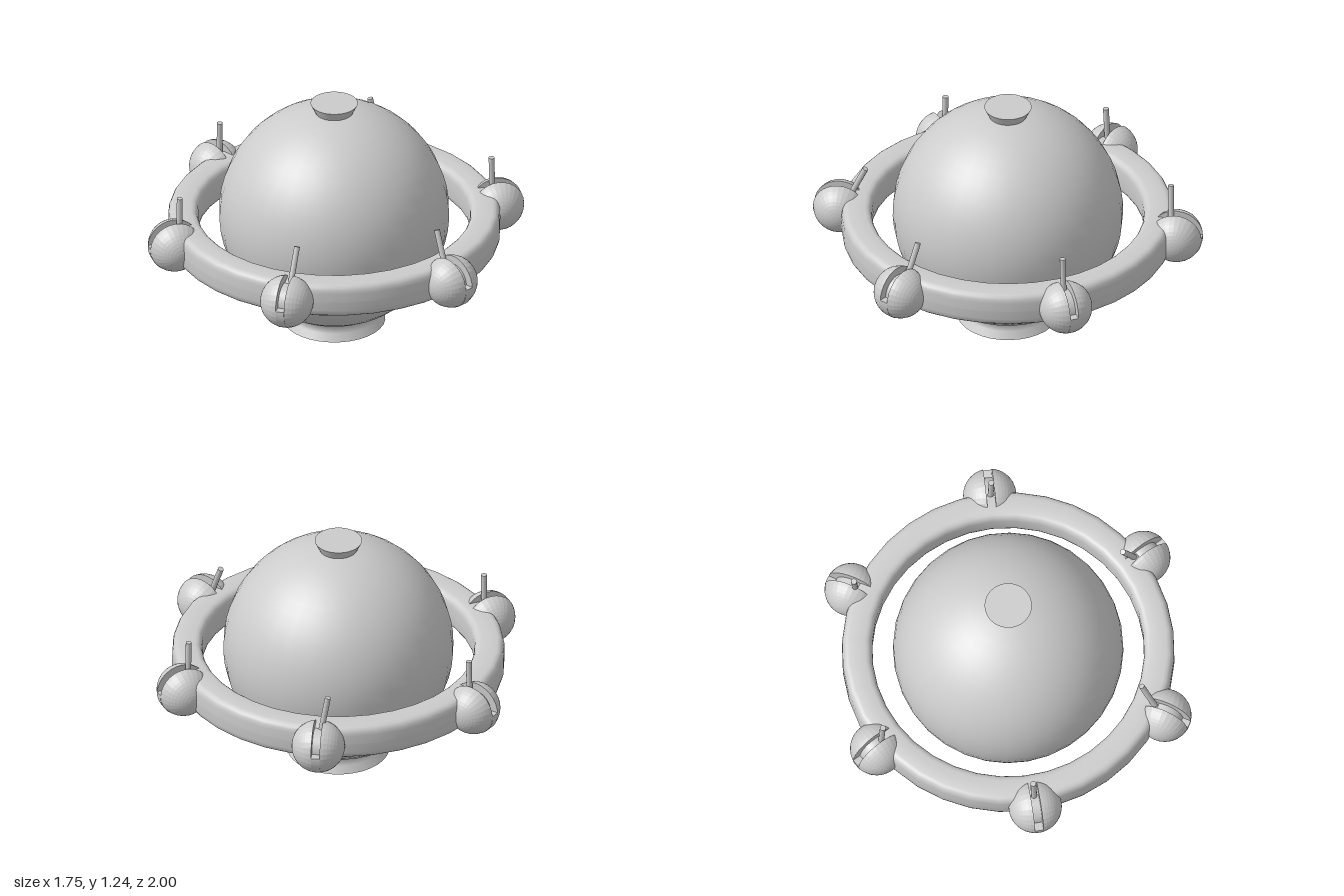
import * as THREE from 'three';

const smooth = new THREE.MeshStandardMaterial({ color: 0xcccccc });
const faceted = new THREE.MeshStandardMaterial({ color: 0xcccccc, flatShading: true });
const open = new THREE.MeshStandardMaterial({ color: 0xcccccc, side: THREE.DoubleSide });

function add(parent, name, geometry, material) {
  const mesh = new THREE.Mesh(geometry, material);
  mesh.name = name;
  parent.add(mesh);
  return mesh;
}

const v2 = (x, y) => new THREE.Vector2(x, y);

// Round body flowing into a flared, open foot
function addBody(model) {
  const R = 0.585, cy = 0.615, neck = Math.asin(0.22 / R);
  const profile = [v2(0.26, 0), v2(0.238, 0.038)];
  for (let i = 0; i <= 24; i++) {
    const a = neck + (Math.PI - neck) * i / 24;
    profile.push(v2(Math.max(0, R * Math.sin(a)), cy - R * Math.cos(a)));
  }
  add(model, 'body', new THREE.LatheGeometry(profile, 32), open);
  // Underside of the body, seen through the foot
  const floor = new THREE.SphereGeometry(R, 32, 6, 0, Math.PI * 2, Math.PI - neck, neck);
  add(model, 'bodyUnderside', floor, smooth).position.y = cy;
  // Flared cap on top
  add(model, 'topCap', new THREE.CylinderGeometry(0.12, 0.096, 0.05, 32), smooth).position.y = 1.218;
}

// Ring with a rounded-square section
function addRing(model) {
  const profile = [];
  const soft = (c) => Math.sign(c) * Math.sqrt(Math.abs(c));
  for (let i = 0; i <= 24; i++) {
    const a = Math.PI * 2 * i / 24;
    profile.push(v2(0.767 + 0.0775 * soft(Math.cos(a)), 0.55 + 0.0925 * soft(Math.sin(a))));
  }
  add(model, 'ring', new THREE.LatheGeometry(profile, 36), smooth);
}

// Ball with a slot over its top: two side caps and a notched middle slice
const r = 0.135, w = 0.022, depth = 0.045;
function createBall() {
  const ball = new THREE.Group();
  ball.name = 'slottedBall';
  const profile = [v2(0, w)];
  const start = Math.asin(w / r);
  for (let i = 0; i <= 10; i++) {
    const a = start + (Math.PI / 2 - start) * i / 10;
    profile.push(v2(Math.max(0, r * Math.cos(a)), r * Math.sin(a)));
  }
  const cap = new THREE.LatheGeometry(profile, 28);
  for (const s of [1, -1]) add(ball, 'ballSide', cap, faceted).rotation.x = s * Math.PI / 2;

  const from = 0.05, to = 2.6;
  const slice = new THREE.Shape();
  slice.absarc(0, 0, r - 0.001, to, from + Math.PI * 2, false);
  slice.absarc(0, 0, r - depth, from, to, false);
  const mid = new THREE.ExtrudeGeometry(slice, { depth: 2 * w, bevelEnabled: false, curveSegments: 20 });
  mid.translate(0, 0, -w);
  add(ball, 'slotFloor', mid, faceted);
  return ball;
}

// Straight rod between two points
function addLever(model, a, b) {
  const dir = b.clone().sub(a);
  const lever = add(model, 'lever', new THREE.CylinderGeometry(0.015, 0.015, dir.length(), 12), smooth);
  lever.position.copy(a).addScaledVector(dir, 0.5);
  lever.quaternion.setFromUnitVectors(new THREE.Vector3(0, 1, 0), dir.normalize());
}

export function createModel() {
  const model = new THREE.Group();
  model.name = 'ringedSphere';
  addBody(model);
  addRing(model);

  // Ball x, z, then lever tip x, y, z
  const stations = [
    [0, 0.865, 0.015, 0.8, 0.73],
    [0.741, 0.43, 0.645, 0.795, 0.355],
    [0.741, -0.42, 0.715, 0.825, -0.4],
    [-0.005, -0.865, -0.05, 0.825, -0.83],
    [-0.743, -0.407, -0.715, 0.815, -0.385],
    [-0.712, 0.455, -0.69, 0.815, 0.435],
  ];
  for (const [x, z, tx, ty, tz] of stations) {
    const ball = createBall();
    ball.position.set(x, 0.553, z);
    ball.rotation.y = Math.atan2(-z, x);
    model.add(ball);
    addLever(model, new THREE.Vector3(x * 0.97, 0.56, z * 0.97), new THREE.Vector3(tx, ty, tz));
  }
  return model;
}
